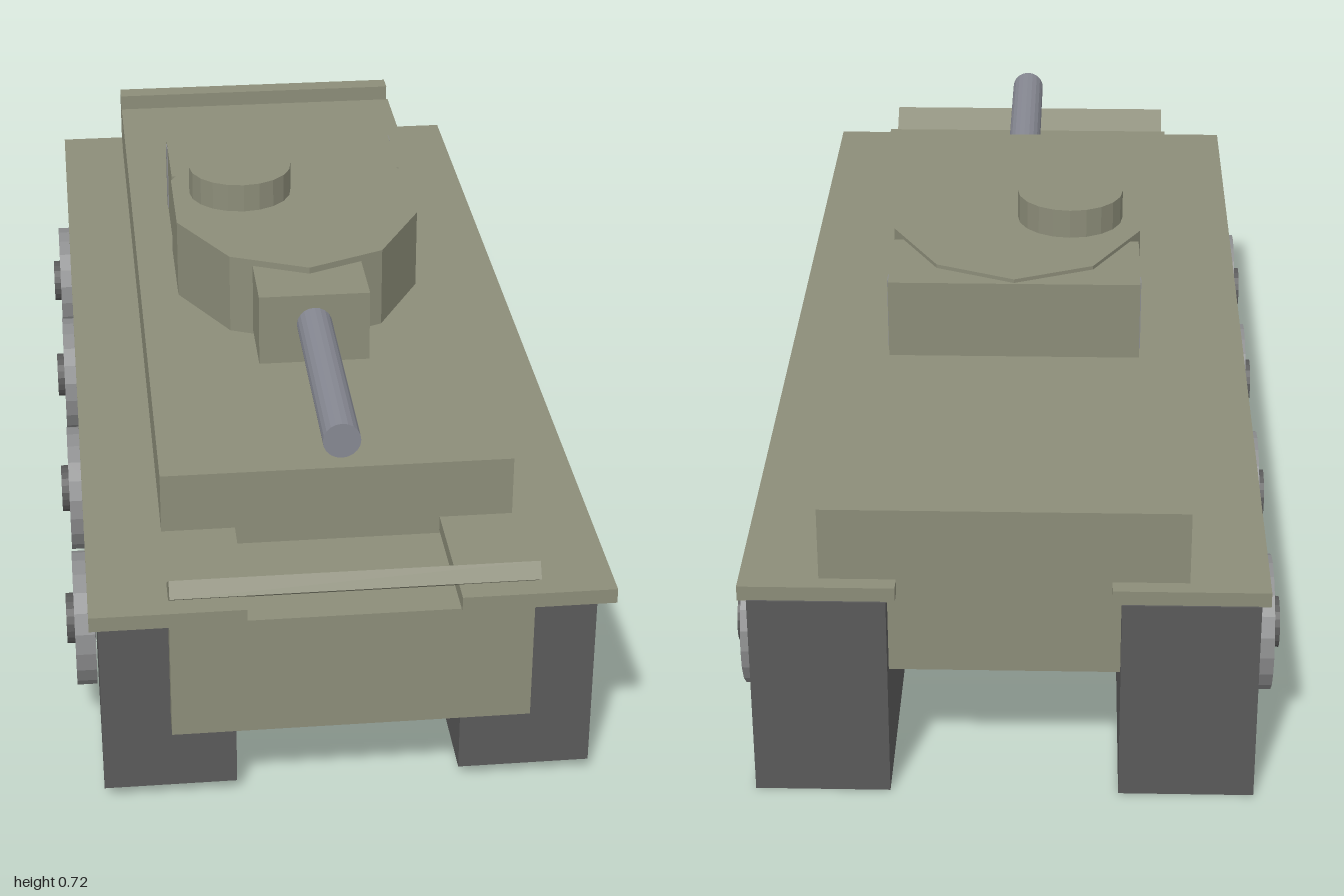
import * as THREE from 'three';

const mat = (name, color) => {
  const m = new THREE.MeshStandardMaterial({ color, flatShading: true });
  m.name = name;
  return m;
};

export function createModel() {
  const olive = mat('olive armour', 0x8c8d79);
  const dark = mat('dark track', 0x5a5a5a);
  const grey = mat('wheel grey', 0x8c8d8e);
  const steel = mat('gun steel', 0x868892);

  const model = new THREE.Group();
  model.name = 'tank';
  const body = new THREE.Group();
  body.name = 'body';
  model.add(body);

  const add = (name, geo, material) => {
    const mesh = new THREE.Mesh(geo, material);
    mesh.name = name;
    body.add(mesh);
    return mesh;
  };
  // Box given by its limits on each axis
  const box = (name, material, x0, x1, y0, y1, z0, z1) => {
    const mesh = add(name, new THREE.BoxGeometry(x1 - x0, y1 - y0, z1 - z0), material);
    mesh.position.set((x0 + x1) / 2, (y0 + y1) / 2, (z0 + z1) / 2);
    return mesh;
  };
  const mirrorBox = (name, material, x0, x1, ...rest) => {
    box(name + 'Left', material, x0, x1, ...rest);
    box(name + 'Right', material, -x1, -x0, ...rest);
  };

  // Tracks and fenders
  mirrorBox('track', dark, 0.19, 0.415, 0, 0.367, -0.998, 0.916);
  mirrorBox('fender', olive, 0.175, 0.43, 0.366, 0.392, -0.995, 0.99);

  // Hull, floor and end plates
  box('upperHull', olive, -0.3, 0.3, 0.36, 0.499, -0.9, 0.736);
  box('hullFloor', olive, -0.19, 0.19, 0.33, 0.345, -0.9, 0.928);
  box('frontPlate', olive, -0.3, 0.3, 0.137, 0.354, 0.926, 0.964);
  box('rearPlate', olive, -0.3, 0.3, 0.22, 0.52, -0.967, -0.925);
  const splash = add('splashPlate', new THREE.BoxGeometry(0.6, 0.03, 0.12), olive);
  splash.position.set(0, 0.408, 0.947);
  splash.rotation.x = -0.59;

  // Road wheels with hubs
  for (const side of [-1, 1]) {
    for (const z of [0.642, 0.192, -0.273, -0.723]) {
      const wheel = add('wheel', new THREE.CylinderGeometry(0.117, 0.117, 0.035, 20), grey);
      wheel.rotation.z = Math.PI / 2;
      wheel.position.set(side * 0.4355, 0.167, z);
      const hub = add('hub', new THREE.CylinderGeometry(0.044, 0.044, 0.05, 20), dark);
      hub.rotation.z = Math.PI / 2;
      hub.position.set(side * 0.442, 0.167, z);
    }
  }

  // Ten-sided turret, stretched lengthwise
  const turretGeo = new THREE.CylinderGeometry(1, 1, 0.16, 10);
  turretGeo.scale(0.24, 1, 0.32);
  add('turret', turretGeo, olive).position.set(0, 0.57, -0.048);
  box('turretBin', olive, -0.225, 0.225, 0.49, 0.643, -0.372, -0.182);
  mirrorBox('binStrip', grey, 0.222, 0.227, 0.51, 0.64, -0.356, -0.33);
  add('cupola', new THREE.CylinderGeometry(0.098, 0.098, 0.07, 20), olive)
    .position.set(-0.098, 0.669, -0.085);

  // Gun and mantlet
  box('mantlet', olive, -0.1, 0.1, 0.505, 0.638, 0.18, 0.361);
  const gun = add('gunBarrel', new THREE.CylinderGeometry(0.032, 0.032, 0.5, 20), steel);
  gun.rotation.x = Math.PI / 2;
  gun.position.set(0, 0.581, 0.54);

  // Slight nose-up stance
  body.rotation.x = -0.0125;
  body.position.y = 0.0125;
  return model;
}
